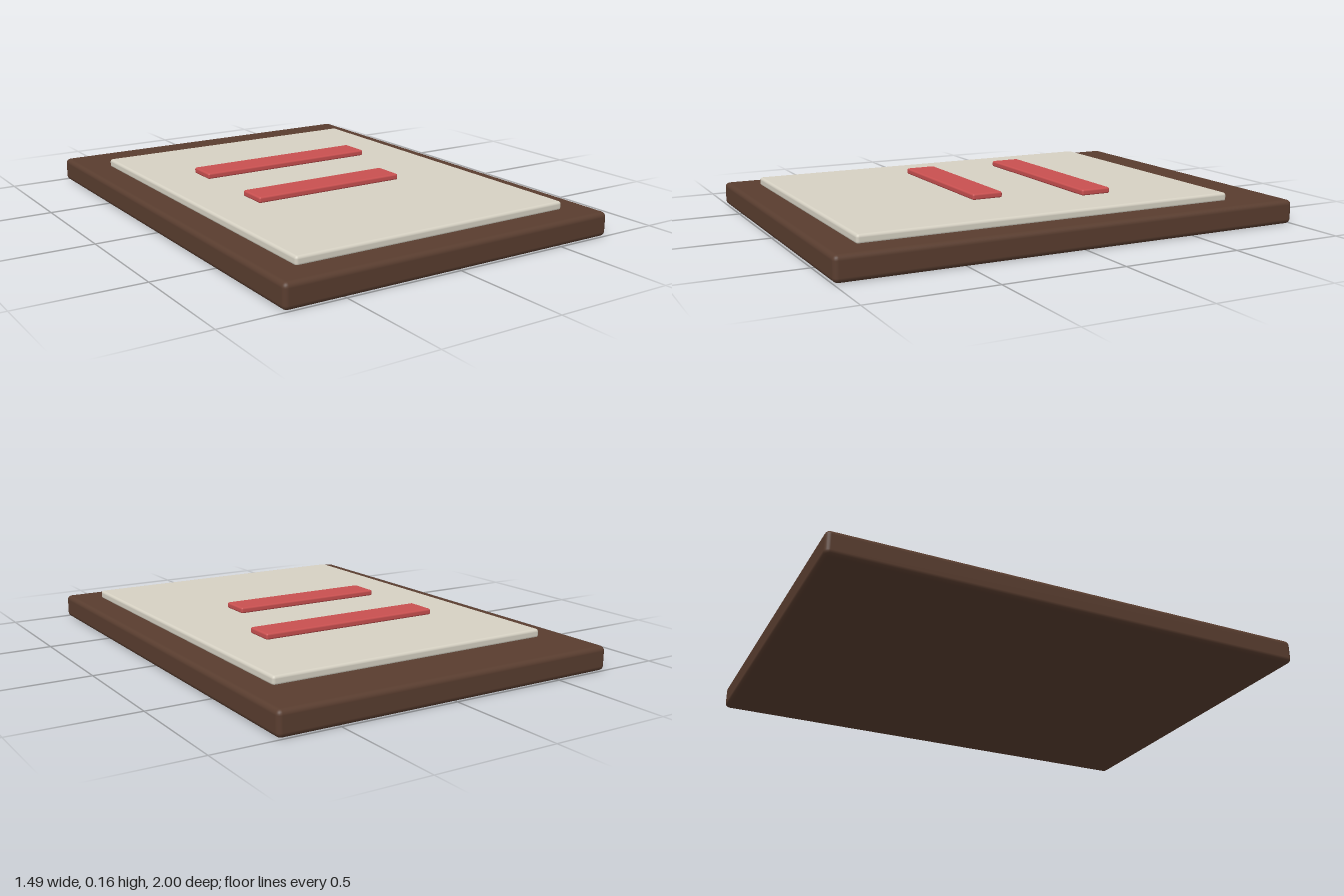
import * as THREE from 'three';
import { RoundedBoxGeometry } from 'three/addons/geometries/RoundedBoxGeometry.js';

const material = (name, color) => {
  const m = new THREE.MeshStandardMaterial({ color });
  m.name = name;
  return m;
};

export function createModel() {
  const group = new THREE.Group();
  group.name = 'clipboard';
  const wood = material('dark brown', 0x593d2f);
  const paper = material('off white', 0xd6d1c3);
  const red = material('muted red', 0xc95050);

  // Rounded slab spanning [min, max] on each axis
  const slab = (name, mat, [x0, x1], [y0, y1], [z0, z1], radius) => {
    const mesh = new THREE.Mesh(
      new RoundedBoxGeometry(x1 - x0, y1 - y0, z1 - z0, 3, radius), mat);
    mesh.position.set((x0 + x1) / 2, (y0 + y1) / 2, (z0 + z1) / 2);
    mesh.name = name;
    group.add(mesh);
  };

  // Backing board and the sheet lying on it
  slab('board', wood, [-0.747, 0.747], [0, 0.1], [-1, 1], 0.02);
  slab('sheet', paper, [-0.623, 0.623], [0.094, 0.132], [-0.753, 0.872], 0.012);

  // Raised bars: a long one behind, a shorter one in front
  slab('longBar', red, [-0.405, 0.402], [0.13, 0.156], [-0.32, -0.187], 0.008);
  slab('shortBar', red, [-0.405, 0.277], [0.13, 0.156], [0.117, 0.25], 0.008);

  return group;
}
